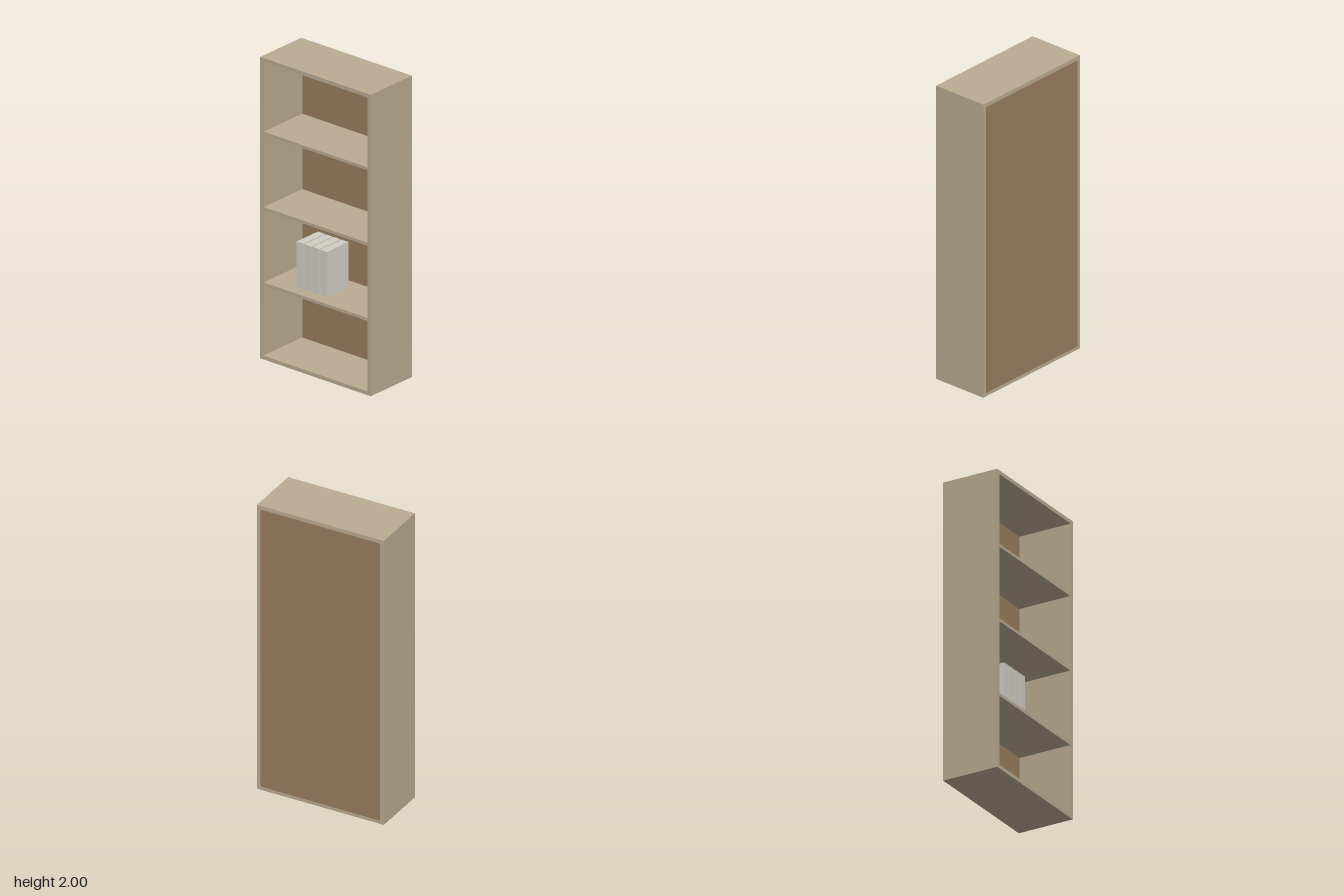
import * as THREE from 'three';

export function createModel() {
  const model = new THREE.Group();
  model.name = 'bookcase';

  const material = (name, color) => {
    const m = new THREE.MeshStandardMaterial({ color });
    m.name = name;
    return m;
  };
  const lightWood = material('light wood', 0xb9aa92);
  const brownWood = material('brown wood', 0x977d5d);
  const bookCover = material('pale grey cover', 0xcfcdc3);

  // Box given by its lower and upper limits on each axis
  const addBox = (name, mat, [x0, x1], [y0, y1], [z0, z1], parent = model) => {
    const mesh = new THREE.Mesh(new THREE.BoxGeometry(x1 - x0, y1 - y0, z1 - z0), mat);
    mesh.position.set((x0 + x1) / 2, (y0 + y1) / 2, (z0 + z1) / 2);
    mesh.name = name;
    parent.add(mesh);
  };

  const W = 0.443, H = 2, T = 0.025, front = 0.194, back = -0.19;
  const inner = W - T;

  // Outer case
  addBox('leftSide', lightWood, [inner, W], [0, H], [back, front]);
  addBox('rightSide', lightWood, [-W, -inner], [0, H], [back, front]);
  addBox('topBoard', lightWood, [-inner, inner], [H - T, H], [back, front]);
  addBox('bottomBoard', lightWood, [-inner, inner], [0, T], [back, front]);

  // Back panel, standing slightly proud of the case
  addBox('backPanel', brownWood, [-inner, inner], [T, H - T], [-0.194, -0.17]);

  // Three evenly spaced shelves
  for (const y of [0.5, 1, 1.5]) {
    addBox('shelf', lightWood, [-inner, inner], [y - 0.01, y + 0.01], [-0.17, front - 0.003]);
  }

  // Row of four upright books on the lowest shelf
  const books = new THREE.Group();
  books.name = 'books';
  for (let i = 0; i < 4; i++) {
    const x = -0.223 + i * 0.0635;
    addBox('book', bookCover, [x, x + 0.054], [0.51, 0.81], [-0.09, 0.11], books);
  }
  model.add(books);

  return model;
}
